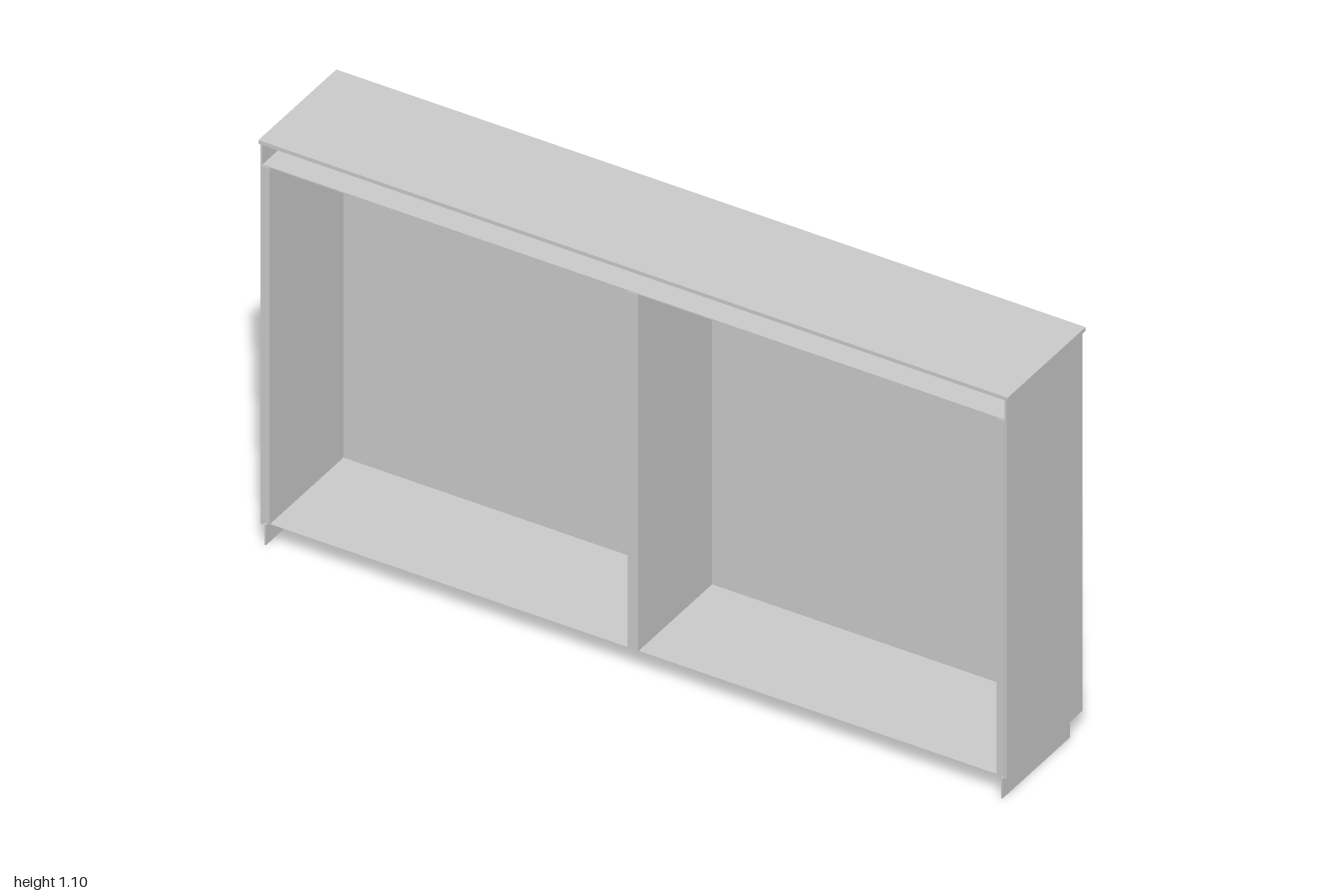
import * as THREE from 'three';

const mat = new THREE.MeshStandardMaterial({ color: 0xcccccc, side: THREE.DoubleSide });
const solid = new THREE.MeshStandardMaterial({ color: 0xcccccc });

export function createModel() {
  const group = new THREE.Group();

  const add = (name, geometry, material = solid) => {
    const mesh = new THREE.Mesh(geometry, material);
    mesh.name = name;
    group.add(mesh);
    return mesh;
  };

  // Box given by its low and high corners
  const box = (name, [x0, y0, z0], [x1, y1, z1]) => {
    const g = new THREE.BoxGeometry(x1 - x0, y1 - y0, z1 - z0);
    g.translate((x0 + x1) / 2, (y0 + y1) / 2, (z0 + z1) / 2);
    return add(name, g);
  };

  const front = 0.168, back = -0.165;
  const floorY = 0.062, ceilY = 1.04, inner = 0.97, post = 0.014;

  // Worktop, and the rear fascia below it (the space behind is open to the front)
  box('top', [-1, 1.094, -0.168], [1, 1.104, 0.17]);
  box('rearFascia', [-0.99, ceilY, -0.163], [0.99, 1.094, -0.156]);
  box('ceiling', [-0.99, ceilY - 0.003, -0.157], [0.99, ceilY, front]);

  // Floor panel, left without its front edge
  const floor = box('floor', [-0.99, 0.055, back], [0.99, floorY, front]);
  const index = Array.from(floor.geometry.index.array);
  index.splice(24, 6);
  floor.geometry.setIndex(index);
  floor.geometry.clearGroups();

  // Back panel behind the doors
  box('backPanel', [-inner, floorY, -0.156], [inner, ceilY - 0.003, -0.15]);

  // End walls: tall outer skin plus thick inner wall that forms the stiles
  for (const s of [-1, 1]) {
    const span = (name, a, b, y0, y1, z0, z1) =>
      box(name, [Math.min(s * a, s * b), y0, z0], [Math.max(s * a, s * b), y1, z1]);
    span('sidePanel', 0.99, 0.995, 0.055, 1.094, -0.163, front);
    span('sideWall', inner, 0.99, floorY, ceilY - 0.003, back, 0.17);
    span('plinthSide', 0.981, 0.985, 0, 0.055, -0.125, front);
  }
  box('divider', [-post, floorY, back], [post, ceilY - 0.003, 0.17]);
  box('plinthBack', [-0.985, 0, -0.125], [0.985, 0.055, -0.121]);

  // Shared door fittings
  const knobGeo = new THREE.CylinderGeometry(0.011, 0.013, 0.009, 16);
  knobGeo.rotateX(-Math.PI / 2);
  knobGeo.scale(1, 1.3, 1);
  const hoodGeo = new THREE.CylinderGeometry(0.013, 0.013, 0.008, 14, 1, true, Math.PI / 2, Math.PI);
  hoodGeo.rotateX(Math.PI / 2);
  hoodGeo.scale(1, 0.8, 1);

  // Two bays of four by three doors, with knobs paired at the seams
  const cols = 4, rows = 3, gap = 0.003;
  const w = (inner - post) / cols, h = (ceilY - floorY) / rows;
  for (const x0 of [-inner, post]) {
    for (let c = 0; c < cols; c++) {
      for (let r = 0; r < rows; r++) {
        const x = x0 + c * w, y = floorY + r * h;
        box('door', [x + gap, y + gap, -0.161], [x + w - gap, y + h - gap, -0.156]);
        const knob = add('knob', knobGeo);
        knob.position.set(x + w * (c % 2 ? 0.13 : 0.87), y + h * 0.43, -0.1635);
        const hood = add('labelHood', hoodGeo, mat);
        hood.position.set(x + w / 2, y + h * 0.75, -0.164);
      }
    }
  }
  return group;
}
